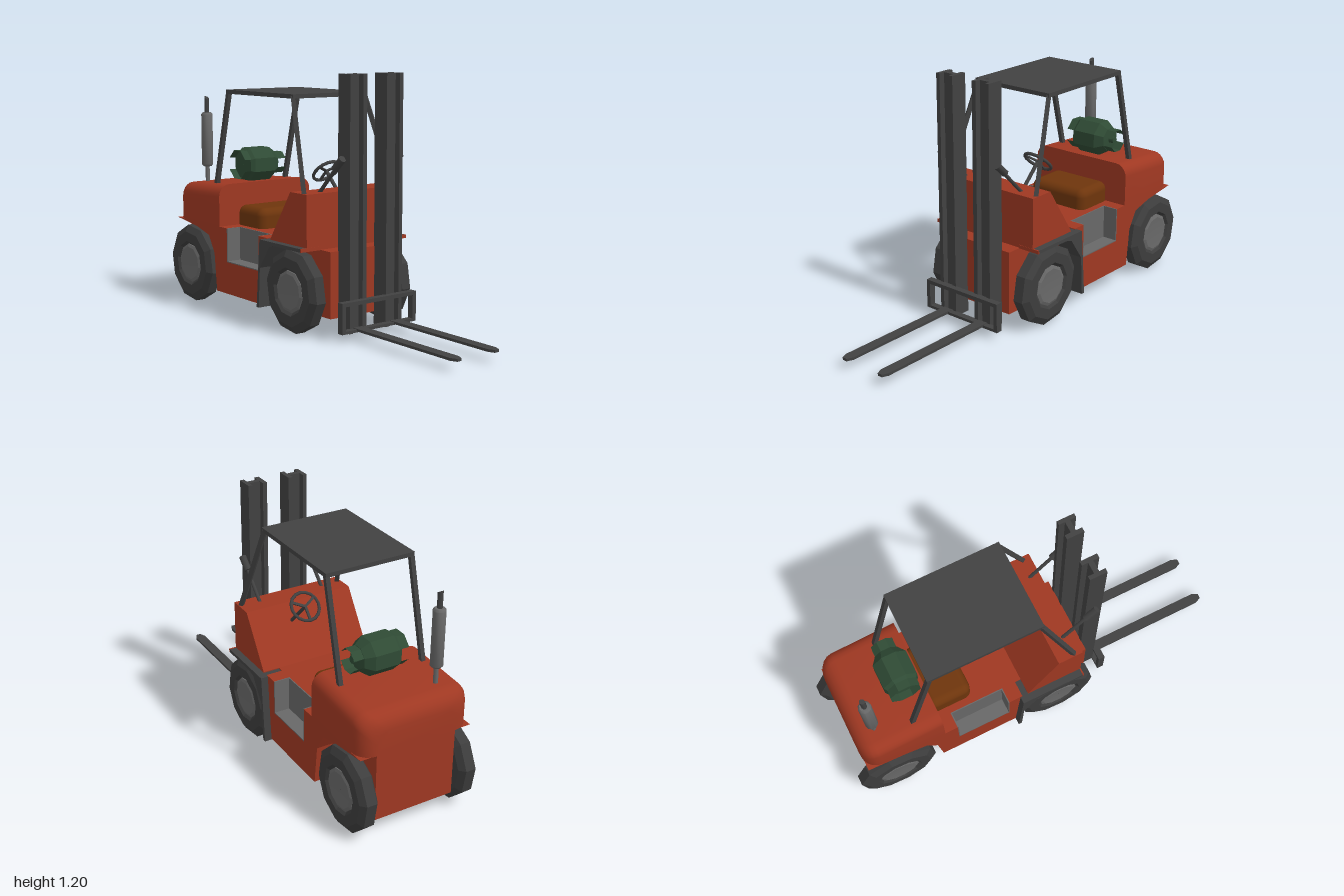
import * as THREE from 'three';
import { toCreasedNormals } from 'three/addons/utils/BufferGeometryUtils.js';
import { RoundedBoxGeometry } from 'three/addons/geometries/RoundedBoxGeometry.js';

const mat = (name, color, extra = {}) =>
  Object.assign(new THREE.MeshStandardMaterial({ color, ...extra }), { name });

export function createModel() {
  const red = mat('red paint', 0x9f3822);
  const dark = mat('dark steel', 0x414141);
  const rubber = mat('tyre rubber', 0x3d3d3d);
  const grey = mat('grey metal', 0x686868);
  const green = mat('green tank', 0x2f4b35, { side: THREE.DoubleSide });
  const brown = mat('brown seat', 0x6e350c);
  const model = new THREE.Group();

  const add = (name, geo, material, x = 0, y = 0, z = 0) => {
    const m = new THREE.Mesh(geo, material);
    m.name = name;
    m.position.set(x, y, z);
    model.add(m);
    return m;
  };
  const flat = (geo) => toCreasedNormals(geo, 0.2);
  // box given by its limits on each axis
  const box = (name, material, [x0, x1], [y0, y1], [z0, z1]) =>
    add(name, new THREE.BoxGeometry(x1 - x0, y1 - y0, z1 - z0), material,
      (x0 + x1) / 2, (y0 + y1) / 2, (z0 + z1) / 2);
  // side profile of [z, y] points, extruded across x
  const profile = (name, material, pts, x0, x1) => {
    const shape = new THREE.Shape(pts.map((p) => new THREE.Vector2(...p)));
    const geo = new THREE.ExtrudeGeometry(shape, { depth: x1 - x0, bevelEnabled: false });
    return add(name, geo.rotateY(-Math.PI / 2), material, x1);
  };
  // bar between two points
  const bar = (name, material, a, b, r, sides = 8) => {
    const p = new THREE.Vector3(...a), q = new THREE.Vector3(...b);
    const geo = new THREE.CylinderGeometry(r, r, p.distanceTo(q), sides);
    if (sides === 4) geo.rotateY(Math.PI / 4);
    const m = add(name, sides === 4 ? flat(geo) : geo, material, ...p.clone().lerp(q, 0.5).toArray());
    m.quaternion.setFromUnitVectors(new THREE.Vector3(0, 1, 0), q.sub(p).normalize());
    return m;
  };

  // chassis and front cowl
  profile('chassis', red, [[0.257, 0.09], [0.257, 0.4], [0.18, 0.4], [0.18, 0.42],
    [-0.94, 0.42], [-0.94, 0.09]], -0.2, 0.2);
  profile('frontCowl', red, [[0.185, 0.405], [0.185, 0.66], [0.06, 0.66], [-0.1, 0.42],
    [-0.1, 0.405]], -0.28, 0.28);

  // rear hood, lofted with rounded shoulders and a rounded tail
  const sections = [[-0.54, 0, 0.63], [-0.7, 0, 0.62], [-0.865, 0, 0.61]];
  for (let i = 1; i <= 5; i++) {
    const t = (i / 5) * Math.PI / 2;
    sections.push([-0.865 - 0.08 * Math.sin(t), 0.08 * (1 - Math.cos(t)), 0.61]);
  }
  const loops = sections.map(([z, inset, top]) => {
    const w = 0.28 - inset, h = top - inset, r = 0.06, pts = [[w, 0.42, z]];
    for (const side of [0, 1]) for (let k = 0; k <= 5; k++) {
      const t = (side + k / 5) * Math.PI / 2;
      pts.push([(side ? -1 : 1) * (w - r) + r * Math.cos(t), h - r + r * Math.sin(t), z]);
    }
    return [...pts, [-w, 0.42, z]];
  });
  const n = loops[0].length, last = (loops.length - 1) * n, index = [];
  for (let i = 0; i < loops.length - 1; i++) for (let j = 0; j < n - 1; j++) {
    const a = i * n + j;
    index.push(a, a + n, a + 1, a + 1, a + n, a + n + 1);
  }
  for (let j = 1; j < n - 1; j++) index.push(0, j, j + 1, last, last + j + 1, last + j);
  const hood = new THREE.BufferGeometry();
  hood.setAttribute('position', new THREE.Float32BufferAttribute(loops.flat(2), 3));
  hood.setIndex(index);
  hood.computeVertexNormals();
  add('rearHood', toCreasedNormals(hood, 0.7), red);

  // seat
  add('seat', new RoundedBoxGeometry(0.33, 0.14, 0.22, 3, 0.04), brown, 0, 0.45, -0.45);

  // ten-sided tyre and hub profiles, turned about x
  const lathe = (pts, sides) => flat(new THREE.LatheGeometry(
    pts.map((p) => new THREE.Vector2(...p)), sides).rotateZ(-Math.PI / 2));
  const tyre = lathe([[0.001, -0.045], [0.165, -0.045], [0.198, -0.025], [0.198, 0.025],
    [0.165, 0.045], [0.115, 0.045], [0.1, 0.03], [0.001, 0.03]], 10);
  const hub = lathe([[0.1, 0.025], [0.1, 0.036], [0.085, 0.042], [0.001, 0.036]], 10);

  for (const s of [-1, 1]) {
    const span = (a, b) => (s > 0 ? [a, b] : [-b, -a]);

    // wheels
    for (const [name, z] of [['front', 0.065], ['rear', -0.805]]) {
      for (const [part, geo, m] of [['Tyre', tyre, rubber], ['Hub', hub, grey]]) {
        const w = add(name + part, geo, m, s * 0.255, 0.197, z);
        w.rotation.set(0.14, s > 0 ? 0 : Math.PI, 0);
      }
    }

    // side body with the step recess and rear wheel arch
    profile('sideBody', red, [[-0.15, 0.09], [-0.57, 0.09], [-0.59, 0.28], [-0.64, 0.365],
      [-0.75, 0.395], [-0.94, 0.42], [-0.475, 0.42], [-0.475, 0.25], [-0.2, 0.25],
      [-0.2, 0.42], [-0.13, 0.42]], ...span(0.2, 0.28));
    box('stepWall', grey, span(0.2, 0.205), [0.25, 0.42], [-0.475, -0.2]);
    box('stepFloor', grey, span(0.2, 0.28), [0.25, 0.255], [-0.475, -0.2]);
    box('stepFrontEnd', grey, span(0.2, 0.28), [0.25, 0.42], [-0.205, -0.2]);
    box('stepRearEnd', grey, span(0.2, 0.28), [0.25, 0.42], [-0.475, -0.47]);

    // front fender
    profile('fender', dark, [[0.182, 0.4], [0.182, 0.416], [-0.14, 0.416], [-0.168, 0.085],
      [-0.15, 0.085], [-0.138, 0.28], [-0.06, 0.39], [-0.02, 0.4]], ...span(0.2, 0.315));
    box('fenderNose', red, span(0.2, 0.315), [0.4, 0.417], [0.18, 0.187]);

    // mast channel: two flanges and a web
    box('mastOuterFlange', dark, span(0.135, 0.155), [0.03, 1.2], [0.255, 0.34]);
    box('mastInnerFlange', dark, span(0.058, 0.08), [0.03, 1.2], [0.255, 0.34]);
    box('mastWeb', dark, span(0.08, 0.135), [0.03, 1.2], [0.285, 0.31]);

    // tilt cylinder
    bar('tiltRod', dark, [s * 0.17, 0.65, 0.13], [s * 0.17, 0.8, 0.28], 0.009);
    bar('tiltCap', dark, [s * 0.17, 0.775, 0.25], [s * 0.17, 0.825, 0.305], 0.018);

    // fork and carriage post
    const fork = new THREE.Shape([[-0.025, 0.34], [0.025, 0.34], [0.025, 0.97], [0.012, 1],
      [-0.012, 1], [-0.025, 0.97]].map((p) => new THREE.Vector2(...p)));
    add('fork', new THREE.ExtrudeGeometry(fork, { depth: 0.012, bevelEnabled: false })
      .rotateX(Math.PI / 2), dark, s * 0.11, 0.058);
    box('carriagePost', dark, span(0.2, 0.22), [0.042, 0.185], [0.335, 0.368]);

    // roof posts
    bar('frontPost', dark, [s * 0.212, 1.09, -0.008], [s * 0.265, 0.65, 0.147], 0.015, 4);
    bar('rearPost', dark, [s * 0.212, 1.09, -0.542], [s * 0.212, 0.61, -0.665], 0.015, 4);
  }

  // carriage rails and roof
  box('carriageTopRail', dark, [-0.22, 0.22], [0.167, 0.185], [0.335, 0.368]);
  box('carriageBottomRail', dark, [-0.22, 0.22], [0.042, 0.055], [0.335, 0.368]);
  box('roof', dark, [-0.222, 0.222], [1.08, 1.1], [-0.555, 0.005]);

  // steering wheel with spokes
  const hubAt = [0.065, 0.715, -0.115];
  bar('steeringColumn', dark, [0.065, 0.58, 0.02], hubAt, 0.009);
  const steering = add('steeringWheel', new THREE.TorusGeometry(0.07, 0.008, 6, 16), dark, ...hubAt);
  steering.rotation.x = -Math.PI * 0.75;
  for (let i = 0; i < 3; i++) {
    const a = Math.PI / 2 + i * Math.PI * 2 / 3;
    const spoke = new THREE.Mesh(new THREE.BoxGeometry(0.07, 0.012, 0.008), dark);
    spoke.name = 'steeringSpoke';
    spoke.position.set(0.035 * Math.cos(a), 0.035 * Math.sin(a), 0);
    spoke.rotation.z = a;
    steering.add(spoke);
  }

  // gas tank lying across the hood, with a slotted foot ring and a valve collar
  const tank = lathe([[0.001, -0.07], [0.075, -0.07], [0.09, -0.05], [0.09, 0.07],
    [0.06, 0.11], [0.001, 0.115]], 8);
  add('gasTank', tank, green, 0, 0.71, -0.637).rotation.x = Math.PI / 8;
  const ring = (name, r, len, x) => {
    for (let i = 0; i < 2; i++) {
      const geo = new THREE.CylinderGeometry(r, r, len, 3, 1, true, i * Math.PI, Math.PI * 0.75);
      add(name, flat(geo.rotateZ(-Math.PI / 2)), green, x, 0.71, -0.637).rotation.x = Math.PI / 8;
    }
  };
  ring('tankFootRing', 0.078, 0.045, -0.083);
  ring('tankValveCollar', 0.058, 0.06, 0.13);
  bar('tankValve', green, [0.11, 0.71, -0.637], [0.14, 0.71, -0.637], 0.018);

  // exhaust with muffler
  bar('exhaustPipe', grey, [-0.16, 0.6, -0.835], [-0.16, 1.03, -0.835], 0.011);
  const tip = bar('exhaustTip', dark, [-0.16, 0.96, -0.835], [-0.16, 1.045, -0.835], 0.0125);
  tip.geometry.attributes.position.array.forEach((v, i, a) => {
    if (i % 3 === 1 && v > 0) a[i] += a[i + 1] * -0.6; // slanted outlet
  });
  const muffler = new THREE.LatheGeometry([[0.001, 0.69], [0.022, 0.69], [0.03, 0.7], [0.03, 0.96],
    [0.022, 0.97], [0.001, 0.97]].map((p) => new THREE.Vector2(...p)), 10);
  add('muffler', toCreasedNormals(muffler, 0.7), grey, -0.16, 0, -0.835);

  return model;
}
